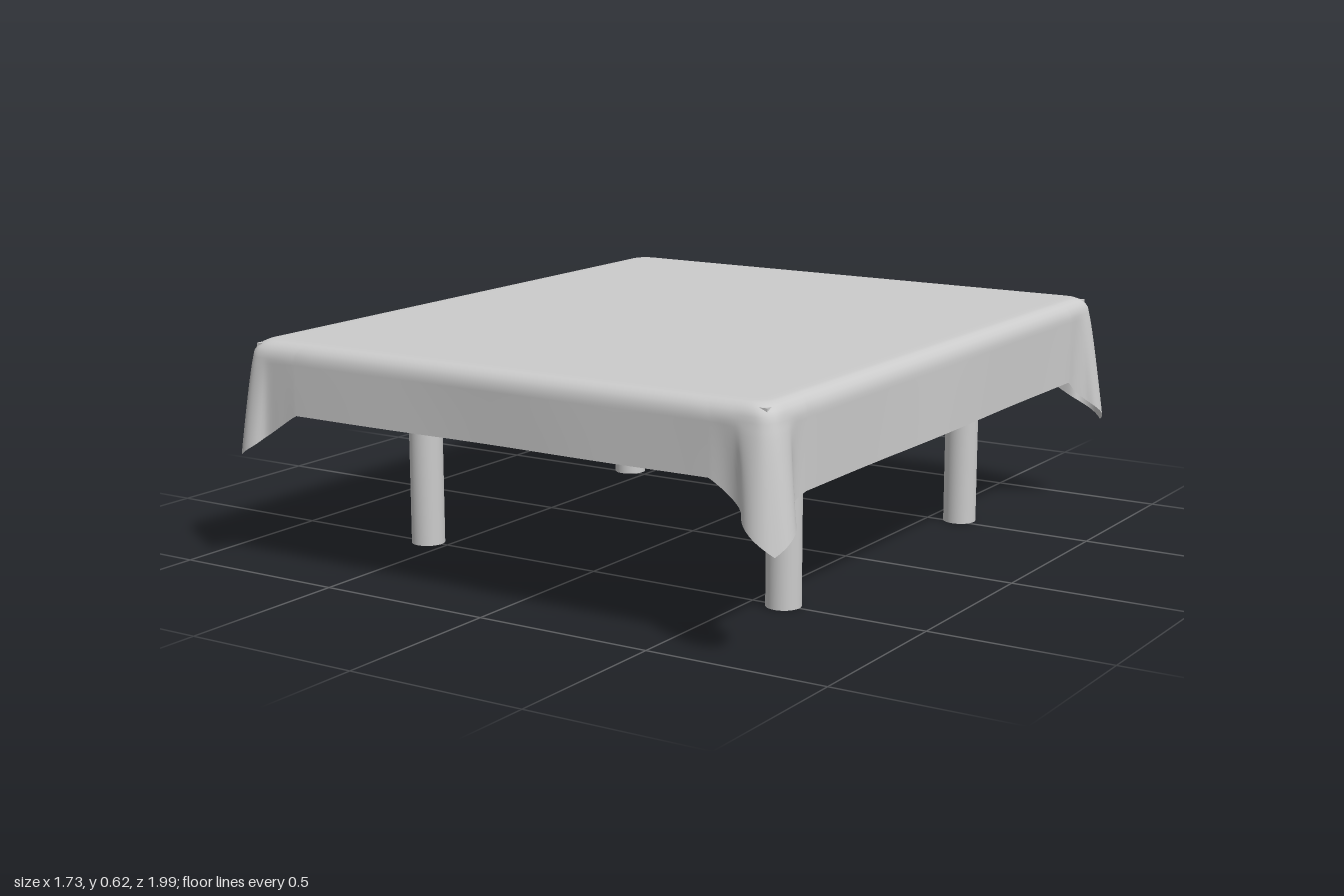
import * as THREE from 'three';

const W = 0.812, D = 0.945, TOP = 0.625, ROUND = 0.045, SPAN = 0.17;
const N_CORNER = 40, N_SIDE = 24, N_DROP = 16;

// Corner folds in order around the cloth: sign of x and z, fold centre, radius, tip height
const corners = [
  { sx: 1, sz: 1, cx: 0.795, cz: 0.925, r: 0.066, tip: 0.275 },
  { sx: -1, sz: 1, cx: 0.8, cz: 0.925, r: 0.045, tip: 0.31 },
  { sx: -1, sz: -1, cx: 0.785, cz: 0.917, r: 0.083, tip: 0.25 },
  { sx: 1, sz: -1, cx: 0.806, cz: 0.925, r: 0.05, tip: 0.25 },
];
// Hem heights of the side that follows each corner: front, left, back, right
const hems = [() => 0.435, () => 0.39,
  (t) => 0.39 - 0.025 * THREE.MathUtils.smoothstep(t, 0.5, 0.8), () => 0.39];
const hemEnds = [[0.39, 0.435], [0.435, 0.39], [0.39, 0.39], [0.365, 0.39]];

const spline = (pts) => new THREE.CatmullRomCurve3(
  pts.map(([x, z]) => new THREE.Vector3(x, 0, z))).getSpacedPoints(N_CORNER);

// Outline of one corner: snug at the table edge, a bulging pleat at the hem
function cornerOutlines(c) {
  const snug = [[W, D - SPAN], [W, D - 0.1]], pleat = [[W, D - SPAN], [W - 0.004, D - 0.11]];
  for (let i = 0; i <= 4; i++) {
    const a = i * Math.PI / 8;
    snug.push([W - 0.045 + 0.045 * Math.cos(a), D - 0.045 + 0.045 * Math.sin(a)]);
  }
  for (let i = 0; i <= 8; i++) {
    const a = Math.PI / 4 + (i / 4 - 1) * 1.95;
    pleat.push([c.cx + c.r * Math.cos(a), c.cz + c.r * Math.sin(a)]);
  }
  snug.push([W - 0.1, D], [W - SPAN, D]);
  pleat.push([W - 0.11, D - 0.004], [W - SPAN, D]);
  const place = (p) => p.multiply(new THREE.Vector3(c.sx, 1, c.sz));
  const out = [spline(snug).map(place), spline(pleat).map(place)];
  return c.sx * c.sz < 0 ? out.map((o) => o.reverse()) : out;
}

// Full loop of cloth columns, each with its upper point, lower point and hem height
function clothColumns() {
  const cols = [], outlines = corners.map(cornerOutlines);
  corners.forEach((c, k) => {
    const [snug, pleat] = outlines[k], next = outlines[(k + 1) % 4][0][0];
    snug.forEach((a, i) => {
      const t = i / N_CORNER, peak = 1 - Math.abs(2 * t - 1);
      const side = THREE.MathUtils.lerp(hemEnds[k][0], hemEnds[k][1], t);
      cols.push({ a, b: pleat[i], hem: THREE.MathUtils.lerp(side, c.tip, Math.pow(peak, 1.15)) });
    });
    const end = snug[N_CORNER];
    for (let i = 1; i < N_SIDE; i++) {
      const t = i / N_SIDE, a = end.clone().lerp(next, t);
      const s = 1 + 0.004 * Math.sin(Math.PI * t) * Math.sin(9 * t + k);
      const b = a.clone().multiplyScalar(s);
      cols.push({ a, b, hem: hems[k](t) });
    }
  });
  return cols;
}

// One sheet: flat top, rounded rim, then the hanging skirt
function clothGeometry() {
  const cols = clothColumns(), n = cols.length, pos = [0, TOP, 0], index = [];
  const rim = [[0.1, TOP], [0.07, TOP]];
  for (let i = 0; i <= 5; i++) {
    const a = i * Math.PI / 10;
    rim.push([ROUND * (1 - Math.sin(a)), TOP - ROUND * (1 - Math.cos(a))]);
  }
  for (const [inset, y] of rim)
    for (const { a } of cols) pos.push(a.x * (1 - inset / W), y, a.z * (1 - inset / D));
  for (let j = 1; j <= N_DROP; j++) {
    const v = j / N_DROP;
    for (const { a, b, hem } of cols) {
      const p = a.clone().lerp(b, Math.pow(v, 0.85));
      pos.push(p.x, THREE.MathUtils.lerp(TOP - ROUND, hem, v), p.z);
    }
  }
  const rows = rim.length + N_DROP;
  for (let i = 0; i < n; i++) {
    const k = (i + 1) % n;
    index.push(0, 1 + k, 1 + i);
    for (let j = 0; j < rows - 1; j++) {
      const p = 1 + j * n, q = p + n;
      index.push(p + i, p + k, q + i, p + k, q + k, q + i);
    }
  }
  // Columns run from +x towards +z, so triangles above face up and outwards
  const g = new THREE.BufferGeometry();
  g.setAttribute('position', new THREE.Float32BufferAttribute(pos, 3));
  g.setIndex(index);
  g.computeVertexNormals();
  return g;
}

export function createModel() {
  const group = new THREE.Group();
  const material = new THREE.MeshStandardMaterial({ color: 0xcccccc });
  const add = (name, geometry, x, y, z, mat = material) => {
    const mesh = new THREE.Mesh(geometry, mat);
    mesh.name = name;
    mesh.position.set(x, y, z);
    group.add(mesh);
  };

  // Table board and four round legs
  add('tableBoard', new THREE.BoxGeometry(1.58, 0.045, 1.85), 0, 0.5925, 0);
  const leg = new THREE.CylinderGeometry(0.047, 0.047, 0.58, 32);
  for (const [side, x] of [['Right', -0.567], ['Left', 0.592]])
    for (const [end, z] of [['front', 0.5], ['back', -0.522]])
      add(`${end}${side}Leg`, leg, x, 0.29, z);

  // Draped cloth
  const cloth = material.clone();
  cloth.side = THREE.DoubleSide;
  add('tablecloth', clothGeometry(), 0, 0, 0, cloth);
  return group;
}
